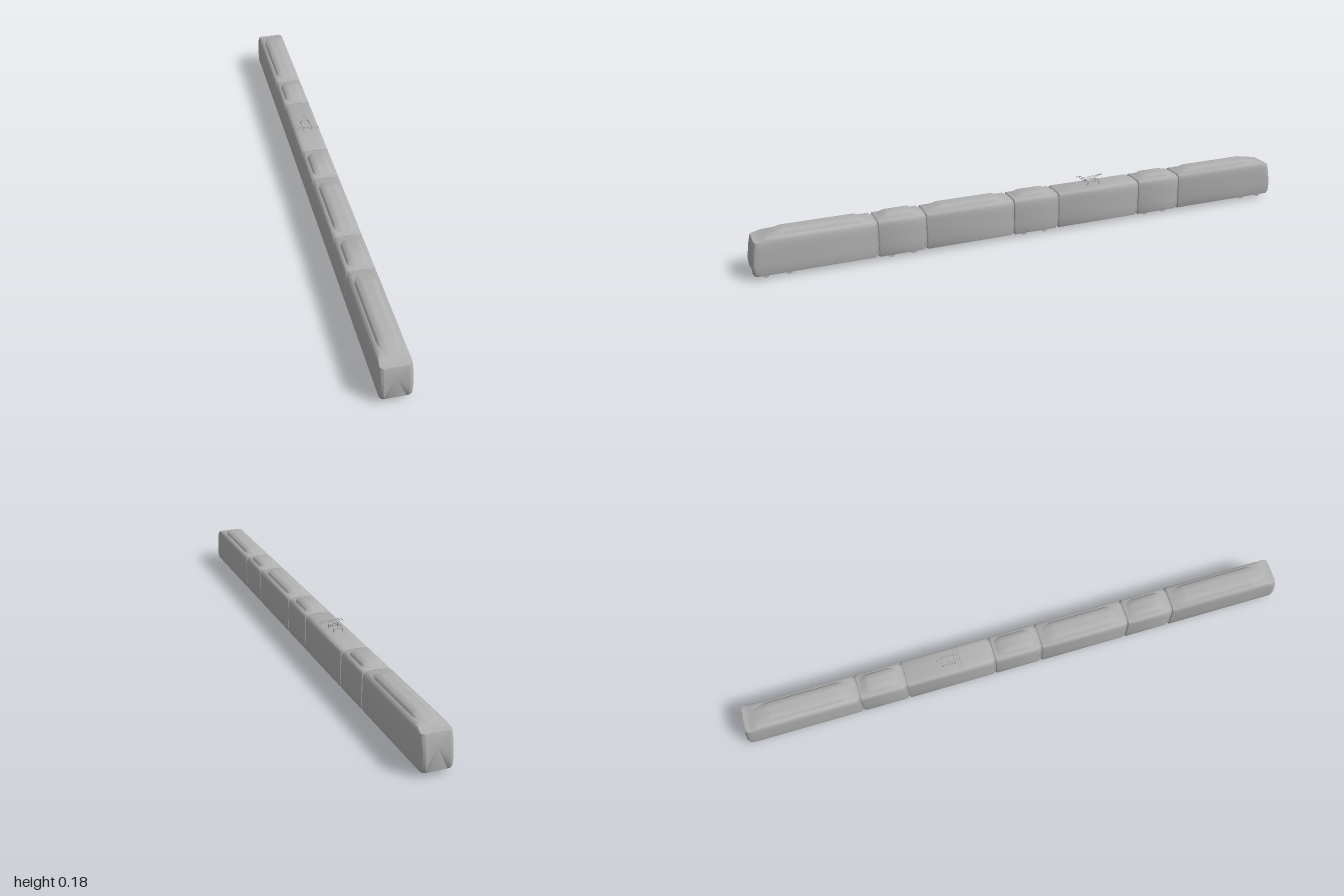
import * as THREE from 'three';
import { toCreasedNormals } from 'three/addons/utils/BufferGeometryUtils.js';

const grey = new THREE.MeshStandardMaterial({ color: 0xb0b0b0 });
grey.name = 'bodyGrey';

// Right half of the cross-sections [x, y], from bottom to top
const BODY = [[0.044, 0.012], [0.049, 0.014], [0.0512, 0.022], [0.052, 0.05], [0.052, 0.1], [0.0512, 0.122],
  [0.0495, 0.133], [0.0465, 0.14], [0.042, 0.1435], [0.034, 0.1455], [0.016, 0.146]];
const POD = [[0.041, 0], [0.0385, 0.35], [0.034, 0.6], [0.029, 0.82], [0.022, 0.96], [0.01, 1]];

const mirrorHalf = half => [...half, ...half.slice().reverse().map(([x, y]) => [-x, y])];

// Piecewise linear lookup in [[key, value], ...]
function lookup(table, k) {
  if (k <= table[0][0]) return table[0][1];
  for (let i = 1; i < table.length; i++) {
    const [a, u] = table[i - 1], [b, v] = table[i];
    if (k <= b) return u + (v - u) * (k - a) / (b - a);
  }
  return table[table.length - 1][1];
}

// Skin over equal rings (counter-clockwise seen from +z, ordered by growing z)
function loft(rings, crease = 0.6) {
  const pos = [];
  const tri = (...pts) => pts.forEach(p => pos.push(...p));
  const n = rings[0].length;
  for (let i = 0; i < rings.length - 1; i++) {
    for (let j = 0; j < n; j++) {
      const k = (j + 1) % n;
      const a = rings[i][j], b = rings[i][k], c = rings[i + 1][k], d = rings[i + 1][j];
      tri(a, b, c);
      tri(a, c, d);
    }
  }
  const centre = r => [0, 1, 2].map(c => r.reduce((s, p) => s + p[c], 0) / n);
  const first = rings[0], last = rings[rings.length - 1];
  const c0 = centre(first), c1 = centre(last);
  for (let j = 0; j < n; j++) {
    const k = (j + 1) % n;
    tri(c0, first[k], first[j]);
    tri(c1, last[j], last[k]);
  }
  const g = new THREE.BufferGeometry();
  g.setAttribute('position', new THREE.Float32BufferAttribute(pos, 3));
  return toCreasedNormals(g, crease);
}

// Body ring shrunk by an inset
function bodyRing(z, inset) {
  return mirrorHalf(BODY).map(([x, y]) => [
    x - Math.sign(x) * Math.min(inset, Math.abs(x) * 0.5),
    y + inset * (0.079 - y) / 0.067, z]);
}

// Nose shape: set-back of the front face by height, roof height by z
const LEAN = [[0.012, 0.008], [0.02, 0.003], [0.03, 0.0005], [0.05, 0], [0.09, 0.005], [0.135, 0.015]];
const ROOF = [[0.935, 0.146], [0.96, 0.141], [0.985, 0.134]];

function noseRing(z, inset) {
  const weight = THREE.MathUtils.clamp((z - 0.93) / 0.05, 0, 1);
  return mirrorHalf(BODY).map(([x, y]) => {
    const yy = Math.max(Math.min(y, lookup(ROOF, z) - inset * 0.1), 0.012 + inset * 0.15);
    return [x - Math.sign(x) * Math.min(inset, Math.abs(x) * 0.5), yy, z - weight * lookup(LEAN, yy)];
  });
}

function mesh(name, geometry, parent) {
  const m = new THREE.Mesh(geometry, grey);
  m.name = name;
  parent.add(m);
  return m;
}

// Hipped roof pod, flat between f0 and f1, ramping out to z0 and z1
function roofPod(name, parent, z0, f0, f1, z1, endY = 0.143) {
  const ring = (z, top, width) => mirrorHalf(POD).map(([x, t]) => [x * width, 0.134 + (top - 0.134) * t, z]);
  const mix = THREE.MathUtils.lerp;
  mesh(name, loft([
    ring(z0, 0.143, 0.8), ring(mix(z0, f0, 0.2), 0.146, 0.92), ring(mix(z0, f0, 0.85), 0.1565, 1), ring(f0, 0.158, 1),
    ring(f1, 0.158, 1), ring(mix(z1, f1, 0.85), 0.1565, 1), ring(mix(z1, f1, 0.2), 0.146, 0.95), ring(z1, endY, 0.88),
  ], 0.5), parent);
}

function middleCar(name, z0, z1) {
  const car = new THREE.Group();
  car.name = name;
  mesh('carBody', loft([
    bodyRing(z0, 0.003), bodyRing(z0 + 0.0015, 0.001), bodyRing(z0 + 0.004, 0),
    bodyRing(z1 - 0.004, 0), bodyRing(z1 - 0.0015, 0.001), bodyRing(z1, 0.003),
  ]), car);
  return car;
}

function cabCar(name) {
  const car = new THREE.Group();
  car.name = name;
  const rings = [bodyRing(0.584, 0.003), bodyRing(0.5855, 0.001), bodyRing(0.588, 0)];
  for (const z of [0.9, 0.935, 0.96, 0.975]) rings.push(noseRing(z, 0));
  // Rounded vertical corners at the nose
  const r = 0.015;
  for (let i = 1; i <= 6; i++) {
    const a = (i / 6) * Math.PI * 0.46;
    rings.push(noseRing(1 - r + r * Math.sin(a), r * (1 - Math.cos(a)) * 0.8));
  }
  rings.push(noseRing(1, r));
  mesh('cabBody', loft(rings, 0.7), car);
  roofPod('cabRoofPod', car, 0.592, 0.645, 0.885, 0.952, 0.14);
  return car;
}

// Straight rod between two points
function rod(name, parent, a, b, radius = 0.0008) {
  const from = new THREE.Vector3(...a), to = new THREE.Vector3(...b);
  const dir = to.clone().sub(from);
  const m = mesh(name, new THREE.CylinderGeometry(radius, radius, dir.length(), 6), parent);
  m.position.copy(from).add(to).multiplyScalar(0.5);
  m.quaternion.setFromUnitVectors(new THREE.Vector3(0, 1, 0), dir.normalize());
}

function pantograph() {
  const p = new THREE.Group();
  p.name = 'pantograph';
  const zf = -0.222, zb = -0.266, w = 0.016, y = 0.158;
  for (const s of [-1, 1]) {
    rod('baseSideBar', p, [s * w, y, zf], [s * w, y, zb], 0.0012);
    for (const z of [zf, zb]) rod('insulator', p, [s * w, 0.144, z], [s * w, y, z], 0.002);
    rod('lowerArm', p, [s * 0.013, y, zf - 0.008], [s * 0.002, 0.1765, -0.282]);
    rod('upperArm', p, [s * 0.002, 0.1765, -0.282], [s * 0.011, 0.166, -0.21]);
  }
  for (const z of [zf, zb]) rod('baseCrossBar', p, [-w, y, z], [w, y, z], 0.0012);
  rod('elbow', p, [-0.004, 0.1765, -0.282], [0.004, 0.1765, -0.282], 0.0011);
  // Contact strips with drooping horns
  for (const z of [-0.203, -0.213]) {
    const path = new THREE.CatmullRomCurve3([[-0.043, 0.159], [-0.038, 0.164], [-0.029, 0.166], [0, 0.1665],
      [0.029, 0.166], [0.038, 0.164], [0.043, 0.159]].map(([x, h]) => new THREE.Vector3(x, h, z)));
    mesh('contactStrip', new THREE.TubeGeometry(path, 24, 0.001, 6), p);
  }
  for (const s of [-1, 1]) rod('stripLink', p, [s * 0.011, 0.166, -0.203], [s * 0.011, 0.166, -0.213]);
  return p;
}

export function createModel() {
  const tram = new THREE.Group();
  tram.name = 'articulatedTram';

  // End cars with cabs
  const front = cabCar('frontCabCar');
  const rear = cabCar('rearCabCar');
  rear.rotation.y = Math.PI;
  tram.add(front, rear);

  // Middle cars, with pods on all but the one carrying the pantograph
  const cars = [
    ['frontBogieCar', 0.414, 0.576, [0.42, 0.458, 0.536, 0.57]],
    ['frontSuspendedCar', 0.09, 0.406, [0.098, 0.15, 0.346, 0.398]],
    ['centreBogieCar', -0.082, 0.082, [-0.076, -0.042, 0.042, 0.076]],
    ['rearSuspendedCar', -0.406, -0.09, null],
    ['rearBogieCar', -0.576, -0.414, [-0.57, -0.536, -0.458, -0.42]],
  ];
  for (const [name, z0, z1, pod] of cars) {
    const car = middleCar(name, z0, z1);
    if (pod) roofPod('roofPod', car, ...pod);
    tram.add(car);
  }
  tram.add(pantograph());

  // Recessed gangways between the cars
  for (const z of [0.58, 0.41, 0.086, -0.086, -0.41, -0.58]) {
    mesh('gangway', loft([bodyRing(z - 0.008, 0.005), bodyRing(z + 0.008, 0.005)]), tram);
  }

  // Wheels showing below the floor
  for (const z of [0.955, 0.878, 0.53, 0.452, 0.04, -0.04, -0.452, -0.53, -0.878, -0.955]) {
    for (const s of [-1, 1]) {
      const wheel = mesh('wheel', new THREE.CylinderGeometry(0.0125, 0.0125, 0.004, 20), tram);
      wheel.rotation.z = Math.PI / 2;
      wheel.position.set(s * 0.033, 0.0125, z);
    }
  }
  return tram;
}
